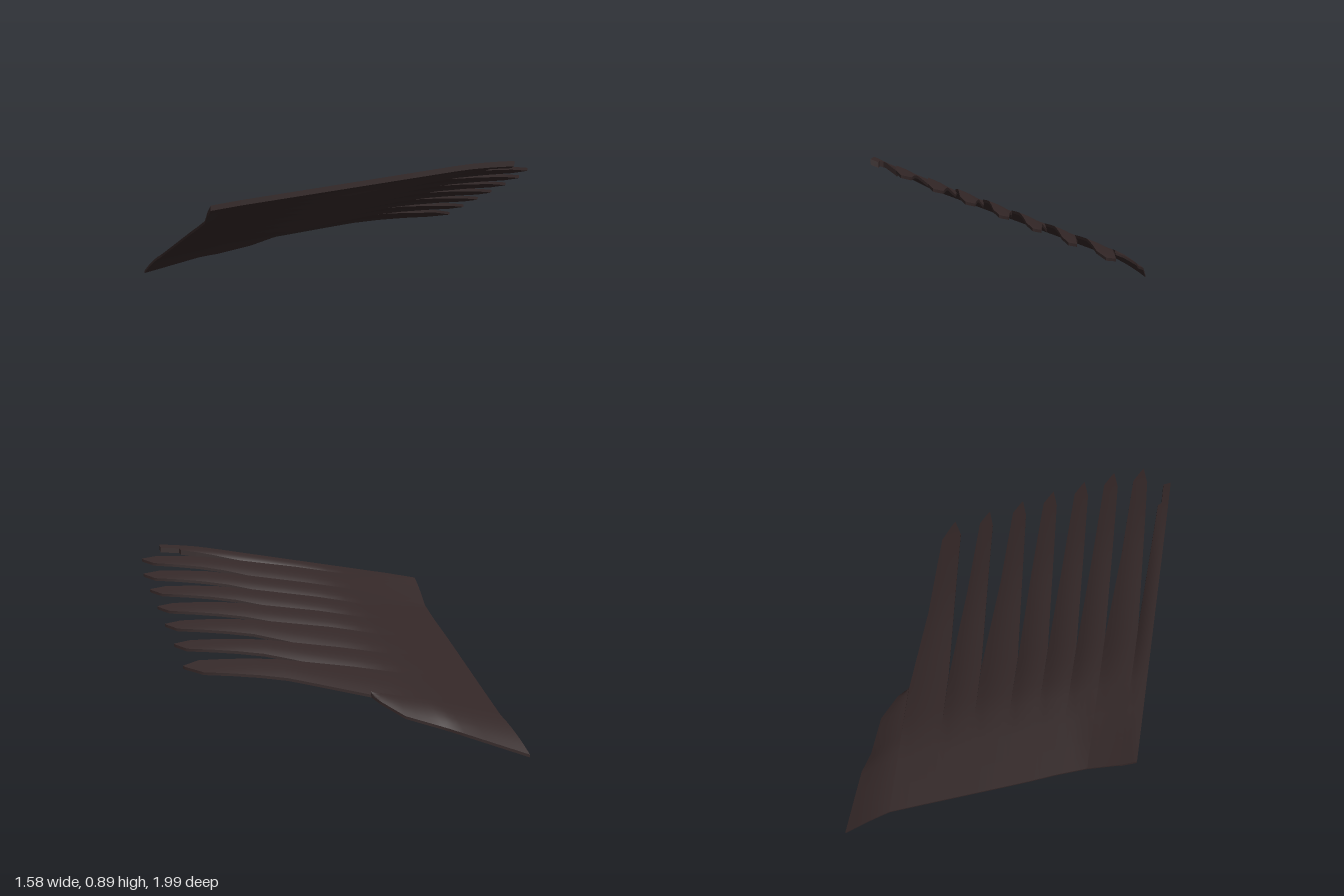
import * as THREE from 'three';
import { toCreasedNormals } from 'three/addons/utils/BufferGeometryUtils.js';

const clamp = THREE.MathUtils.clamp;
const lerp = (p, q, t) => [p[0] + (q[0] - p[0]) * t, p[1] + (q[1] - p[1]) * t];

// Height of the gently arched, tilted sheet
function height(x, z) {
  let y = 0.5 + 0.415 * z;
  if (x > 0.3) y -= 0.06 * Math.pow((x - 0.3) / 0.48, 1.5);
  if (x < -0.3) y -= 0.035 * ((-0.3 - x) / 0.45) * clamp((0.5 - z) / 0.25, 0, 1);
  return y;
}

// Closed strip between two edge polylines (points are [x, z]);
// dips lower the first edge at each station
function strip(a, b, dips, thick, power = 3) {
  const across = 5, sub = 3, pos = [], index = [], ring = 2 * (across + 1);
  const steps = (a.length - 1) * sub;
  for (let i = 0; i <= steps; i++) {
    const k = Math.min(Math.floor(i / sub), a.length - 2), t = i / sub - k;
    const pa = lerp(a[k], a[k + 1], t), pb = lerp(b[k], b[k + 1], t);
    const dip = dips[k] + (dips[k + 1] - dips[k]) * t;
    for (let j = 0; j < ring; j++) {
      const top = j <= across, s = (top ? j : ring - 1 - j) / across;
      const [x, z] = lerp(pa, pb, s);
      pos.push(x, height(x, z) - dip * Math.pow(1 - s, power) - (top ? 0 : thick), z);
    }
  }
  for (let i = 0; i < steps; i++) {
    for (let j = 0; j < ring; j++) {
      const p = i * ring + j, q = i * ring + (j + 1) % ring;
      index.push(p, q, p + ring, q, q + ring, p + ring);
    }
  }
  const end = steps * ring;
  for (let j = 0; j < across; j++) {
    const m = ring - 1 - j;
    index.push(j, m, j + 1, j + 1, m, m - 1);
    index.push(end + j, end + j + 1, end + m, end + j + 1, end + m - 1, end + m);
  }
  const g = new THREE.BufferGeometry();
  g.setAttribute('position', new THREE.Float32BufferAttribute(pos, 3));
  g.setIndex(index);
  return toCreasedNormals(g, 0.6);
}

export function createModel() {
  const group = new THREE.Group();
  const darkBrown = new THREE.MeshStandardMaterial({ color: 0x322626 });
  darkBrown.name = 'darkBrown';
  const add = (name, geometry) => {
    const mesh = new THREE.Mesh(geometry, darkBrown);
    mesh.name = name;
    group.add(mesh);
  };

  // Points along the straight edge, notches between blades, and blade tips
  const spine = [[-0.625, -0.75], [-0.65, -0.53], [-0.67, -0.36], [-0.69, -0.19],
    [-0.707, -0.04], [-0.72, 0.1], [-0.74, 0.25], [-0.78, 0.4], [-0.795, 0.48]];
  const notch = [[-0.03, -0.515], [-0.035, -0.3], [-0.05, -0.13], [-0.08, 0.055],
    [-0.085, 0.21], [-0.13, 0.345], [-0.13, 0.49], [-0.15, 0.65]];
  const tips = [[0.785, -0.08], [0.765, 0.105], [0.75, 0.28], [0.735, 0.44],
    [0.72, 0.6], [0.705, 0.75], [0.665, 0.89]];
  const root = (k) => [spine[k], lerp(spine[k], notch[k], 0.6), notch[k]];

  // Seven pointed blades, each tucked slightly under its neighbour
  tips.forEach((tip, k) => {
    const off = (dx, dz) => [tip[0] + dx, tip[1] + dz];
    const first = k === 0;
    const shoulderB = off(-0.085, first ? 0.01 : -0.005);
    const a = [...root(k), first ? off(-0.455, -0.25) : off(-0.4, -0.215),
      first ? off(-0.075, -0.09) : off(-0.045, -0.065), off(-0.005, -0.012)];
    const b = [...root(k + 1), lerp(notch[k + 1], shoulderB, 0.5), shoulderB, tip];
    add('blade' + (k + 1), strip(a, b, [0, 0, first ? 0.015 : 0.03, 0.012, 0, 0], 0.014));
  });

  // Thicker leading blade along the front edge
  const corner = spine[8], far = [0.53, 0.99];
  add('leadingBlade', strip(
    [...root(7), [0.2, 0.8], [0.435, 0.9], [0.44, 0.92], [0.535, 0.955]],
    [corner, lerp(corner, far, 0.3), lerp(corner, far, 0.5), lerp(corner, far, 0.75),
      lerp(corner, far, 0.91), lerp(corner, far, 0.93), far],
    [0, 0, 0.025, 0.012, 0, 0, 0], 0.026));

  // Curved flap at the back, bending down towards its outer edge
  const inner = (t) => lerp(spine[0], notch[0], t);
  add('rearFlap', strip(
    [[-0.643, -1], [-0.37, -0.85], [-0.29, -0.78], [-0.13, -0.69], [-0.05, -0.58], [-0.03, -0.518]],
    [inner(0), inner(0.42), inner(0.6), inner(0.8), inner(0.93), inner(1)],
    [0.044, 0.03, 0.038, 0.025, 0.012, 0.012], 0.014, 2));

  return group;
}
